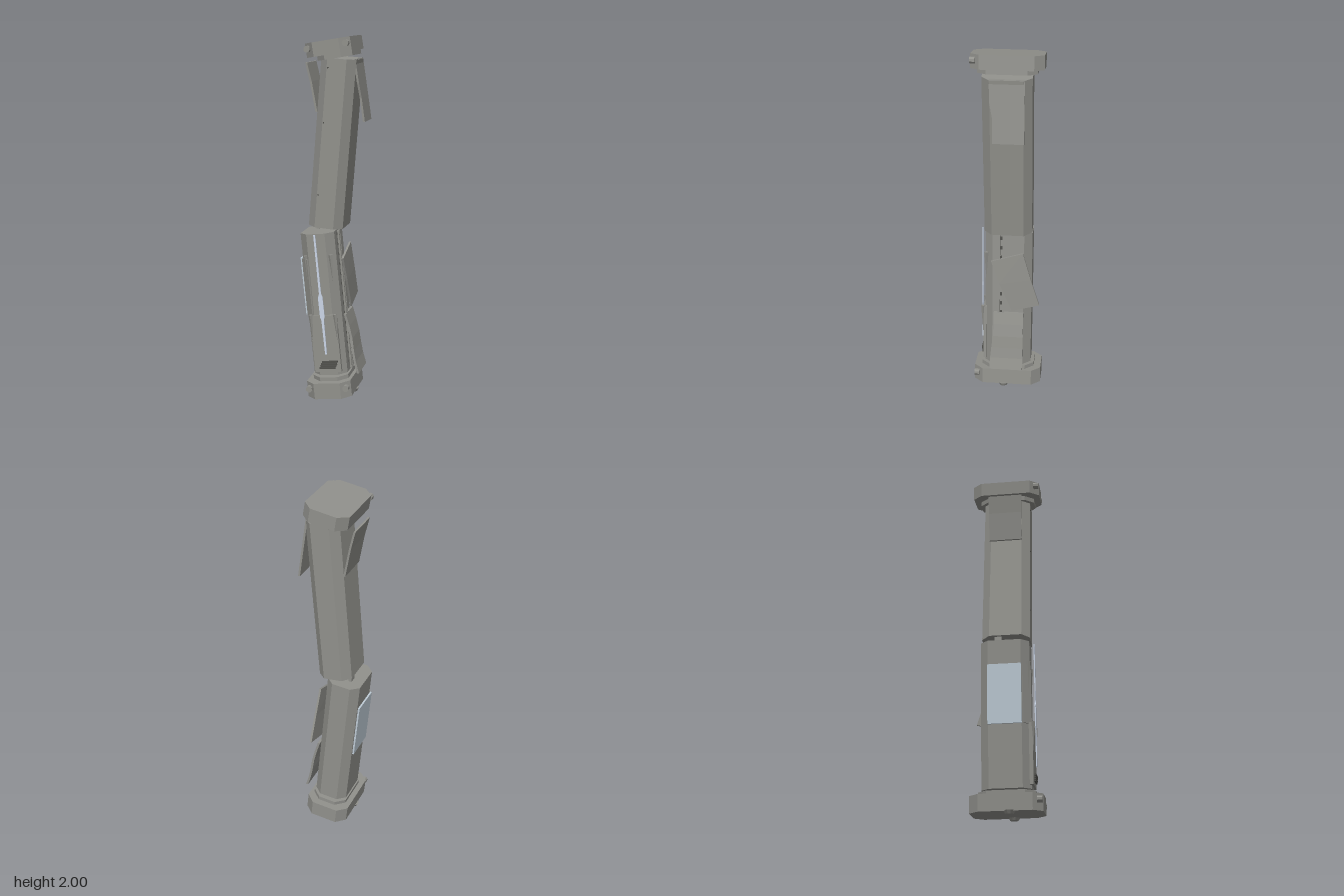
import * as THREE from 'three';

const mat = (name, color, side = THREE.FrontSide) => {
  const m = new THREE.MeshStandardMaterial({ color, side, flatShading: true });
  m.name = name;
  return m;
};

// Eight-sided prism: a box footprint with cut corners, standing on y = 0
function octPrism(w, d, cut, h) {
  const a = w / 2, b = d / 2;
  const s = new THREE.Shape([
    [a, -b + cut], [a, b - cut], [a - cut, b], [-a + cut, b],
    [-a, b - cut], [-a, -b + cut], [-a + cut, -b], [a - cut, -b],
  ].map(([x, y]) => new THREE.Vector2(x, y)));
  return new THREE.ExtrudeGeometry(s, { depth: h, bevelEnabled: false }).rotateX(-Math.PI / 2);
}

// Thin bent sheet: each row is [x, y at front, z at front, y at back, z at back]
function sheet(rows, t = 0.011) {
  const pos = [], idx = [];
  for (const [x, y0, z0, y1, z1] of rows) {
    pos.push(x - t / 2, y0, z0, x + t / 2, y0, z0, x + t / 2, y1, z1, x - t / 2, y1, z1);
  }
  for (let r = 0; r < rows.length - 1; r++) {
    for (let k = 0; k < 4; k++) {
      const a = r * 4 + k, b = r * 4 + (k + 1) % 4;
      idx.push(a, a + 4, b, b, a + 4, b + 4);
    }
  }
  const e = (rows.length - 1) * 4;
  idx.push(0, 1, 2, 0, 2, 3, e, e + 2, e + 1, e, e + 3, e + 2);
  const g = new THREE.BufferGeometry();
  g.setAttribute('position', new THREE.Float32BufferAttribute(pos, 3));
  g.setIndex(idx);
  g.computeVertexNormals();
  return g;
}

export function createModel() {
  const model = new THREE.Group();
  model.name = 'brokenTower';
  const hull = mat('hull grey', 0x91918c);
  const sheetGrey = mat('panel grey', 0x91918c, THREE.DoubleSide);
  const dark = mat('dark grey', 0x50504c);
  const blue = mat('pale blue plate', 0xbecbd5);
  const light = mat('pale blue light', 0xccd7e8, THREE.DoubleSide);

  const add = (parent, name, geo, material, x = 0, y = 0, z = 0) => {
    const m = new THREE.Mesh(geo, material);
    m.name = name;
    m.position.set(x, y, z);
    parent.add(m);
    return m;
  };
  const box = (parent, name, w, h, d, material, x, y, z) =>
    add(parent, name, new THREE.BoxGeometry(w, h, d), material, x, y, z);
  const section = (name, x, y, degrees) => {
    const g = new THREE.Group();
    g.name = name;
    g.position.set(x, y, 0);
    g.rotation.z = THREE.MathUtils.degToRad(degrees);
    model.add(g);
    return g;
  };
  // Stubby forward-facing bolts on the two front corners of a cap
  const bolts = (parent, y) => {
    for (const s of [-1, 1]) {
      const geo = new THREE.CylinderGeometry(0.018, 0.018, 0.028, 8).rotateX(Math.PI / 2).rotateZ(Math.PI / 8);
      add(parent, 'cornerBolt', geo, hull, s * 0.104, y, 0.175);
    }
  };

  // Top cap with a stepped rim below
  const top = section('topCap', -0.004, 1.943, 9.5);
  add(top, 'capBlock', octPrism(0.244, 0.38, 0.05, 0.075), hull, 0, -0.0375, 0);
  add(top, 'capRim', octPrism(0.19, 0.31, 0.05, 0.025), hull, 0.018, -0.0615, 0);
  bolts(top, 0.008);

  // Upper shaft, leaning to +x
  const upper = section('upperShaft', -0.033, 0.975, -4.6);
  add(upper, 'upperShaftBody', octPrism(0.19, 0.262, 0.043, 0.912), hull);
  for (const y of [0.18, 0.57, 0.86]) box(upper, 'rivet', 0.005, 0.008, 0.006, dark, -0.045, y, 0.132);

  // Thin joint between the two shafts
  box(model, 'joint', 0.018, 0.09, 0.04, hull, -0.105, 0.95, -0.04);

  // Lower shaft, leaning to -x
  const lower = section('lowerShaft', -0.003, 0.145, 5.6);
  add(lower, 'lowerShaftBody', octPrism(0.19, 0.262, 0.043, 0.8), hull);
  box(lower, 'lowerFrontPlate', 0.15, 0.325, 0.02, hull, 0, 0.183, 0.132);
  for (const s of [-1, 1]) {
    // Tapered fins on the front corners
    for (const [x, y] of [[0.072, 0.6], [0.07, 0.27]]) {
      const fin = add(lower, 'frontFin', new THREE.ConeGeometry(0.012, 0.16, 4), hull, s * x, y, y > 0.4 ? 0.125 : 0.143);
      fin.rotation.x = Math.PI;
    }
  }

  // Long tapered light strip on the front
  const strip = new THREE.Shape([
    [-0.005, 0.8], [-0.006, 0.47], [-0.014, 0.45], [-0.013, 0.34], [-0.007, 0.32], [-0.005, 0.125],
    [0.005, 0.125], [0.007, 0.32], [0.013, 0.34], [0.012, 0.45], [0.006, 0.47], [0.005, 0.8],
  ].map(([x, y]) => new THREE.Vector2(x, y)));
  add(lower, 'lightStrip', new THREE.ExtrudeGeometry(strip, { depth: 0.006, bevelEnabled: false }), light, 0, 0, 0.149);

  // Slanted vent
  for (let i = 0; i < 4; i++) {
    box(lower, 'ventSlat', 0.09, 0.009, 0.012, dark, -0.002 + i * 0.006, 0.045 + i * 0.012, 0.145);
  }

  // Plates on the -x side
  box(lower, 'bluePlate', 0.01, 0.325, 0.18, blue, -0.104, 0.5, 0);
  const cornerPlate = box(lower, 'cornerPlate', 0.008, 0.32, 0.055, hull, -0.077, 0.5, 0.115);
  cornerPlate.rotation.y = Math.PI / 4;

  // Twin rails with rungs on the +x side
  for (const z of [0.026, 0.05]) box(lower, 'sideRail', 0.01, 0.79, 0.012, hull, 0.109, 0.405, z);
  for (let i = 0; i < 14; i++) box(lower, 'railRung', 0.014, 0.014, 0.012, dark, 0.102, 0.05 + i * 0.056, 0.038);

  // Loose hull panels peeling away
  add(model, 'upperLeftPanel', sheet([
    [0.124, 1.88, 0.09, 1.88, -0.095], [0.142, 1.76, 0.085, 1.76, -0.095],
    [0.154, 1.68, 0.07, 1.68, -0.095], [0.172, 1.55, 0.068, 1.55, -0.097],
  ]), sheetGrey);
  add(model, 'upperRightPanel', sheet([
    [-0.137, 1.86, 0.095, 1.86, -0.095], [-0.113, 1.76, 0.09, 1.76, -0.095], [-0.083, 1.6, 0.09, 1.6, -0.095],
  ]), sheetGrey);
  add(model, 'middleLeftPanel', sheet([
    [0.062, 0.805, 0.092, 0.86, -0.085], [0.074, 0.67, 0.045, 0.705, -0.13], [0.082, 0.505, -0.025, 0.55, -0.18],
  ]), sheetGrey);
  add(model, 'lowerLeftPanel', sheet([
    [0.072, 0.485, 0.078, 0.485, -0.09], [0.092, 0.42, 0.076, 0.42, -0.09],
    [0.11, 0.35, 0.08, 0.35, -0.09], [0.121, 0.28, 0.088, 0.28, -0.09],
    [0.133, 0.22, 0.094, 0.22, -0.09], [0.152, 0.155, 0.096, 0.155, -0.09],
  ], 0.013), sheetGrey);

  // Base cap with a rim above and small round feet
  const base = section('baseCap', 0, 0.07, 6);
  add(base, 'baseBlock', octPrism(0.25, 0.38, 0.05, 0.09), hull, 0, -0.045, 0);
  add(base, 'baseRim', octPrism(0.2, 0.3, 0.05, 0.022), hull, 0.005, 0.045, 0);
  bolts(base, 0.012);
  for (const s of [-1, 1]) {
    add(base, 'foot', new THREE.CylinderGeometry(0.032, 0.022, 0.018, 10), hull, s * 0.105, -0.05, 0.02);
  }
  return model;
}
